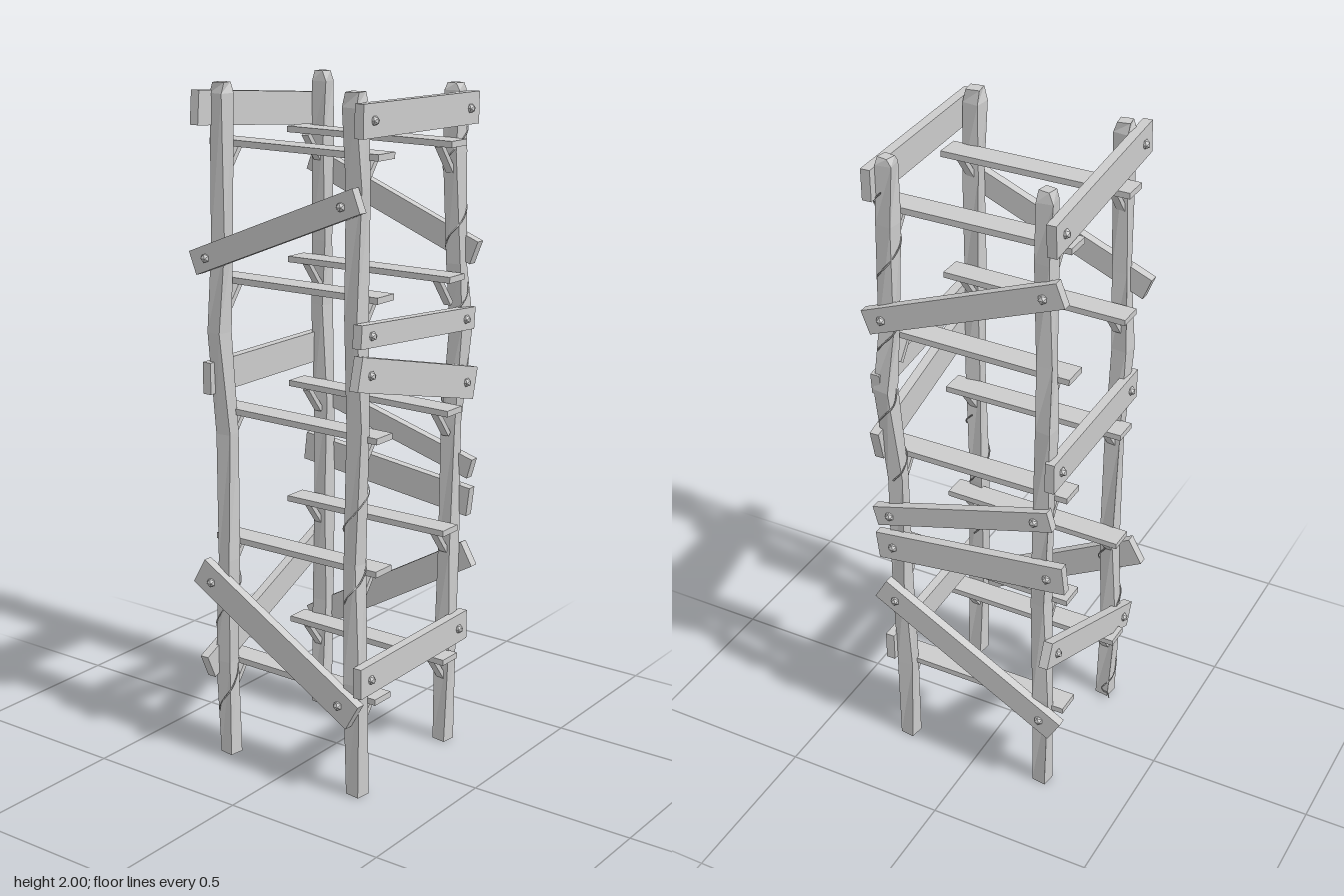
import * as THREE from 'three';

const mat = new THREE.MeshStandardMaterial({ color: 0xcccccc, flatShading: true, side: THREE.DoubleSide });
const V = (x, y, z) => new THREE.Vector3(x, y, z);

function add(parent, geo, name) {
  const mesh = new THREE.Mesh(geo, mat);
  mesh.name = name;
  parent.add(mesh);
  return mesh;
}

// Crooked square post lofted through rows of [y, centre x, centre z, half width]
function postGeometry(rows) {
  const pos = [], idx = [];
  rows.forEach(([y, x, z, h], i) => {
    const skew = i % 2 ? 0.003 : -0.003;
    [[-1, 1], [1, 1], [1, -1], [-1, -1]].forEach(([a, b]) => pos.push(x + a * h + b * skew, y, z + b * h - a * skew));
    if (!i) return;
    for (let k = 0; k < 4; k++) {
      const a = (i - 1) * 4 + k, b = (i - 1) * 4 + (k + 1) % 4;
      idx.push(a, b, b + 4, a, b + 4, a + 4);
    }
  });
  const t = (rows.length - 1) * 4;
  idx.push(0, 2, 1, 0, 3, 2, t, t + 1, t + 2, t, t + 2, t + 3);
  const geo = new THREE.BufferGeometry();
  geo.setAttribute('position', new THREE.Float32BufferAttribute(pos, 3));
  geo.setIndex(idx);
  geo.computeVertexNormals();
  return geo;
}

// Box running from a to b; its thickness points along out
function beam(parent, a, b, width, thick, out, name) {
  const dir = b.clone().sub(a), len = dir.length();
  dir.normalize();
  const side = out.clone().cross(dir).normalize();
  const normal = dir.clone().cross(side);
  const mesh = add(parent, new THREE.BoxGeometry(len, width, thick), name);
  mesh.quaternion.setFromRotationMatrix(new THREE.Matrix4().makeBasis(dir, side, normal));
  mesh.position.copy(a).add(b).multiplyScalar(0.5);
  return normal;
}

// Board with a nail head near each end
function nailedBoard(parent, a, b, width, out, name) {
  const g = new THREE.Group();
  g.name = name;
  parent.add(g);
  const n = beam(g, a, b, width, 0.028, out, 'plank');
  [0.085, 0.915].forEach(t => {
    const nail = add(g, new THREE.IcosahedronGeometry(0.014, 0), 'nail');
    nail.position.lerpVectors(a, b, t).addScaledVector(n, 0.016);
  });
}

export function createModel() {
  const root = new THREE.Group();
  root.name = 'scaffoldTower';

  // Corner posts
  const posts = {
    frontLeftPost: [[0, 0.225, 0.24, 0.022], [0.3, 0.23, 0.238, 0.024], [0.62, 0.238, 0.24, 0.022], [1.0, 0.247, 0.235, 0.022],
      [1.3, 0.265, 0.252, 0.024], [1.48, 0.245, 0.245, 0.022], [1.8, 0.238, 0.238, 0.024], [1.97, 0.235, 0.238, 0.023], [1.99, 0.236, 0.238, 0.016]],
    frontRightPost: [[0, -0.23, 0.243, 0.023], [0.35, -0.24, 0.242, 0.025], [0.7, -0.225, 0.228, 0.022], [1.1, -0.232, 0.242, 0.023],
      [1.4, -0.238, 0.24, 0.023], [1.75, -0.232, 0.24, 0.024], [1.96, -0.238, 0.235, 0.025], [2.0, -0.238, 0.235, 0.02]],
    backLeftPost: [[0, 0.225, -0.225, 0.022], [0.35, 0.24, -0.23, 0.024], [0.7, 0.235, -0.22, 0.022], [1.0, 0.24, -0.225, 0.023],
      [1.3, 0.245, -0.236, 0.023], [1.5, 0.238, -0.23, 0.022], [1.8, 0.236, -0.225, 0.023], [1.97, 0.236, -0.225, 0.023], [2.0, 0.235, -0.225, 0.016]],
    backRightPost: [[0, -0.23, -0.225, 0.022], [0.3, -0.235, -0.232, 0.024], [0.62, -0.23, -0.222, 0.022], [1.0, -0.222, -0.228, 0.023],
      [1.3, -0.238, -0.238, 0.024], [1.55, -0.235, -0.226, 0.022], [1.97, -0.228, -0.224, 0.023], [2.0, -0.228, -0.224, 0.018]],
  };
  for (const [name, rows] of Object.entries(posts)) add(root, postGeometry(rows), name);

  // Nailed boards on the front and back: x1, y1, x2, y2, width
  const front = V(0, 0, 1), back = V(0, 0, -1), left = V(1, 0, 0), right = V(-1, 0, 0);
  [[-0.285, 1.93, 0.285, 1.92, 0.09], [-0.29, 1.365, 0.285, 1.317, 0.065],
    [-0.295, 1.265, 0.295, 1.12, 0.095], [-0.285, 0.37, 0.275, 0.37, 0.09]]
    .forEach(([x1, y1, x2, y2, w]) => nailedBoard(root, V(x1, y1, 0.28), V(x2, y2, 0.272), w, front, 'frontBoard'));
  [[-0.305, 1.935, 0.285, 1.885, 0.095], [-0.275, 1.168, 0.28, 1.168, 0.093], [-0.295, 0.29, 0.29, 0.555, 0.08]]
    .forEach(([x1, y1, x2, y2, w]) => nailedBoard(root, V(x1, y1, -0.257), V(x2, y2, -0.262), w, back, 'backBoard'));

  // Nailed boards on the sides: z1, y1, z2, y2, width
  [[0.293, 1.51, -0.288, 1.738, 0.072], [0.293, 0.865, -0.265, 1.025, 0.062],
    [0.29, 0.762, -0.31, 0.835, 0.088], [0.288, 0.598, -0.288, 0.263, 0.08]]
    .forEach(([z1, y1, z2, y2, w]) => nailedBoard(root, V(0.274, y1, z1), V(0.27, y2, z2), w, left, 'leftBoard'));
  [[0.275, 1.725, -0.3, 1.497, 0.07], [0.265, 0.262, -0.3, 0.578, 0.088]]
    .forEach(([z1, y1, z2, y2, w]) => nailedBoard(root, V(-0.276, y1, z1), V(-0.262, y2, z2), w, right, 'rightBoard'));

  // Shelf planks along each side, with a diagonal bracket at every post
  const up = V(0, 1, 0);
  [[0.29, 0.29], [0.675, 0.7], [1.06, 1.06], [1.45, 1.45], [1.83, 1.83]].forEach((ys, level) => {
    [-1, 1].forEach((s, k) => {
      const y = ys[k], x = s * (level === 1 && k ? 0.165 : 0.176);
      beam(root, V(x, y, 0.292), V(x + 0.006, y + (level % 2 ? -0.004 : 0.003), -0.287), 0.075, 0.018, up, 'shelfPlank');
      [-0.228, 0.238].forEach(z =>
        beam(root, V(s * 0.217, y - 0.085, z), V(s * 0.158, y - 0.008, z), 0.024, 0.015, V(s, 0.8, 0), 'bracket'));
    });
  });

  // Thin vines winding round posts
  function vine(rows, y0, y1, turns, name, tail = []) {
    const pts = [], n = turns * 6;
    for (let i = 0; i <= n; i++) {
      const y = y1 + (y0 - y1) * i / n;
      let k = 1;
      while (k < rows.length - 1 && rows[k][0] < y) k++;
      const [ya, xa, za] = rows[k - 1], [yb, xb, zb] = rows[k];
      const t = (y - ya) / (yb - ya), a = i * Math.PI / 3, r = 0.033 + 0.004 * Math.sin(i * 2.3);
      pts.push(V(xa + (xb - xa) * t + r * Math.cos(a), y, za + (zb - za) * t + r * Math.sin(a)));
    }
    const curve = new THREE.CatmullRomCurve3(pts.concat(tail));
    add(root, new THREE.TubeGeometry(curve, n * 4, 0.0022, 4), name);
  }
  vine(posts.frontLeftPost, 1.0, 1.9, 4, 'upperVine');
  vine(posts.frontRightPost, 0.5, 0.95, 2, 'middleVine');
  vine(posts.backRightPost, 0.03, 0.6, 2, 'lowerVine', [V(-0.2, 0.02, -0.245), V(-0.16, 0.04, -0.27)]);

  return root;
}
